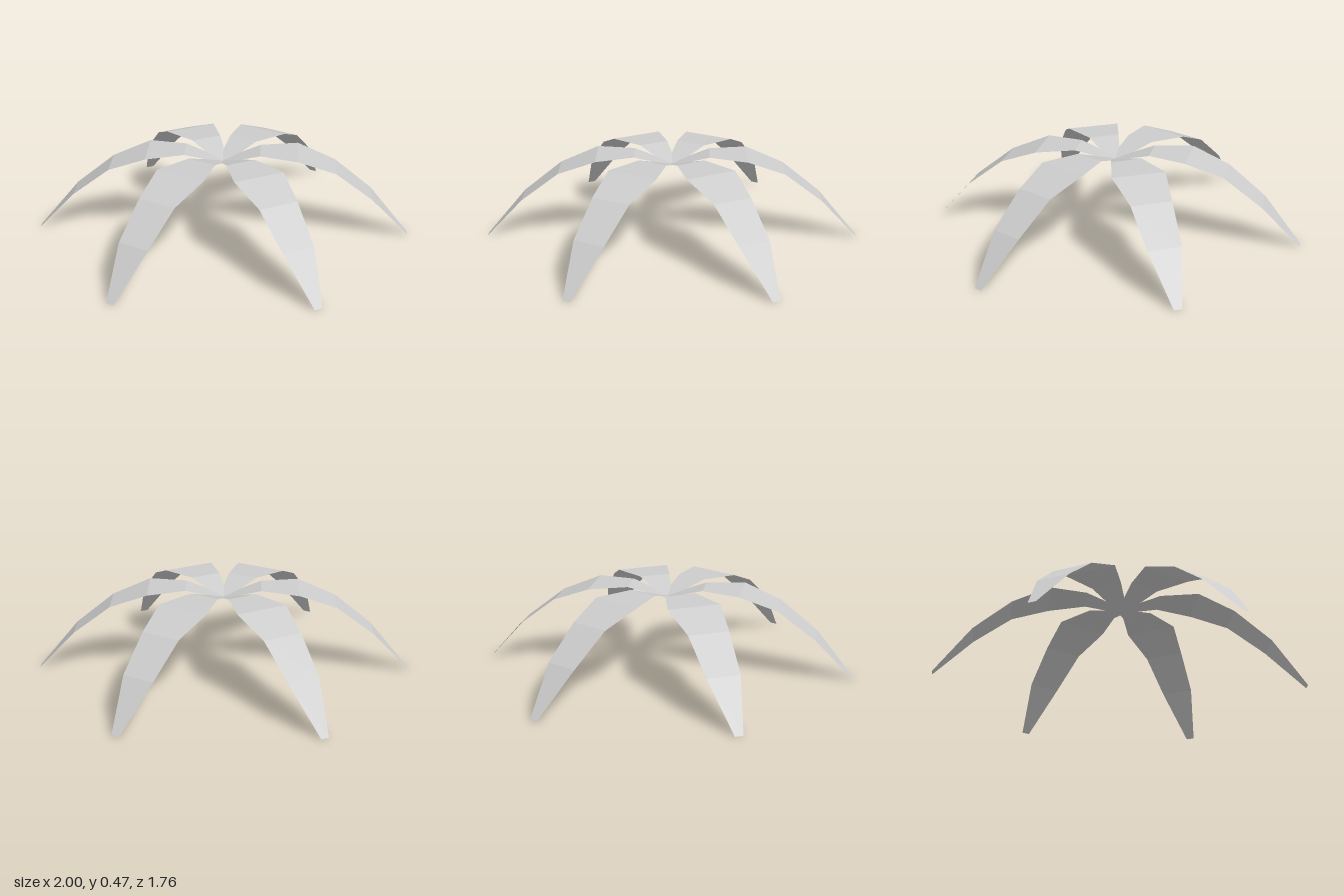
import * as THREE from 'three';

// Cross-sections along one frond: [distance from centre, height, half width]
const SECTIONS = [
  [0, 0.404, 0.028],
  [0.2, 0.465, 0.084],
  [0.4, 0.458, 0.142],
  [0.6, 0.381, 0.108],
  [0.8, 0.226, 0.088],
  [1, 0, 0.022],
];

// A flat strip bent and tapered to follow the sections
function frondGeometry() {
  const geometry = new THREE.PlaneGeometry(1, 1, SECTIONS.length - 1, 1);
  geometry.rotateX(-Math.PI / 2);
  const pos = geometry.attributes.position;
  for (let i = 0; i < pos.count; i++) {
    const [r, y, halfWidth] = SECTIONS[i % SECTIONS.length];
    pos.setXYZ(i, r, y, Math.sign(pos.getZ(i)) * halfWidth);
  }
  const flat = geometry.toNonIndexed();
  flat.computeVertexNormals();
  return flat;
}

export function createModel() {
  const group = new THREE.Group();
  group.name = 'palmCrown';

  const leafGrey = new THREE.MeshStandardMaterial({
    color: 0xcccccc,
    flatShading: true,
    side: THREE.DoubleSide,
  });
  leafGrey.name = 'leafGrey';

  // Six drooping fronds, 1.05 radians apart
  const geometry = frondGeometry();
  for (let i = 0; i < 6; i++) {
    const frond = new THREE.Mesh(geometry, leafGrey);
    frond.name = `frond${i + 1}`;
    frond.rotation.y = -i * 1.05;
    group.add(frond);
  }
  return group;
}
